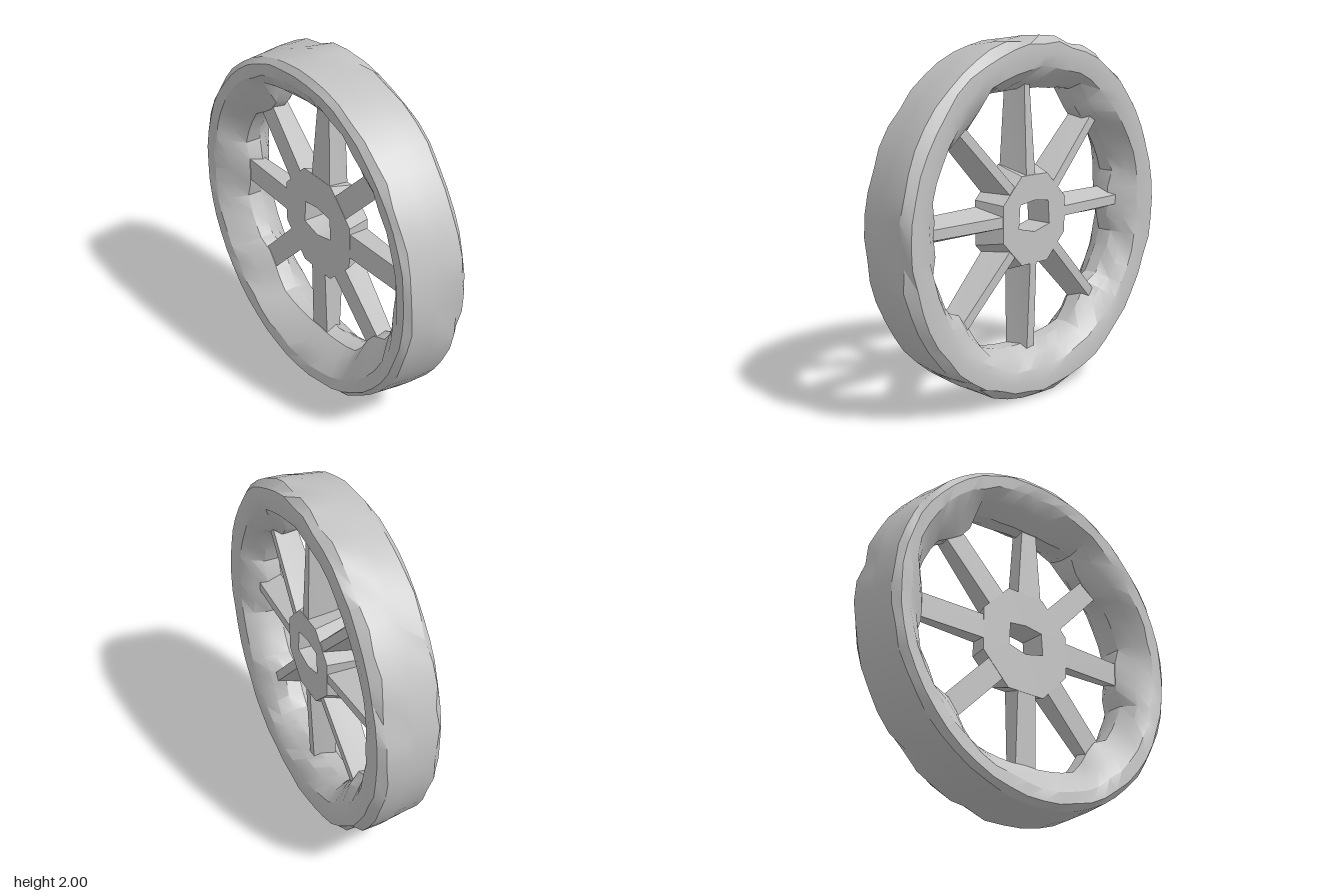
import * as THREE from 'three';
import { toCreasedNormals } from 'three/addons/utils/BufferGeometryUtils.js';

const metal = new THREE.MeshStandardMaterial({ color: 0xc2c2c2 });
metal.name = 'grey';

function mesh(name, geometry, parent, crease = 0.5) {
  const m = new THREE.Mesh(toCreasedNormals(geometry, crease), metal);
  m.name = name;
  parent.add(m);
  return m;
}

// Small seeded generator for the worn surface
let seed = 7;
const rand = () => (seed = (seed * 16807) % 2147483647) / 2147483647;

// Inner rim radius by elevation angle (degrees), the same on both sides
const inner = [
  [-90, 0.71], [-75, 0.73], [-60, 0.76], [-51, 0.70], [-41, 0.69], [-35, 0.74],
  [-23, 0.75], [-13, 0.76], [-6, 0.705], [6, 0.705], [14, 0.76], [18, 0.757],
  [36, 0.744], [41, 0.71], [47, 0.69], [54, 0.69], [62, 0.778], [76, 0.725], [90, 0.71],
];
function innerRadius(deg) {
  let k = 1;
  while (k < inner.length - 1 && inner[k][0] < deg) k++;
  const [a, ra] = inner[k - 1], [b, rb] = inner[k];
  return THREE.MathUtils.lerp(ra, rb, (deg - a) / (b - a));
}

// Rim: a cross-section swept round the axle, with an uneven inside and worn tread
function rimGeometry() {
  const n = 52, rows = 13, positions = [], index = [];
  for (let j = 0; j < n; j++) {
    const a = (j / n) * Math.PI * 2;
    const ri = innerRadius(THREE.MathUtils.radToDeg(Math.asin(Math.sin(a))));
    const toward = (t) => THREE.MathUtils.lerp(ri, 0.87, t);
    const notch = rand() < 0.25 ? 0.025 : 0;
    const w = () => (rand() - 0.5) * 0.02;
    const section = [
      [ri, -0.05 + w()], [ri, 0.035], [toward(0.5) + w(), 0.12 + w()],
      [0.87 + w(), 0.178 + w() / 2], [0.94 + w() / 2, 0.186], [0.972 + w() / 4, 0.155 + w()],
      [0.988, 0.02 + w()], [0.996 - notch / 2, -0.03], [1 - notch, -0.14 + w()],
      [0.96 + w(), -0.186], [0.9 + w(), -0.19],
      [0.835 + w(), -0.178], [toward(0.3) + w(), -0.12 + w()],
    ];
    for (const [r, z] of section) positions.push(r * Math.cos(a), r * Math.sin(a), z);
    for (let i = 0; i < rows; i++) {
      const i2 = (i + 1) % rows, j2 = (j + 1) % n;
      const p = j * rows + i, q = j * rows + i2, s = j2 * rows + i, t = j2 * rows + i2;
      index.push(p, q, s, q, t, s);
    }
  }
  const g = new THREE.BufferGeometry();
  g.setAttribute('position', new THREE.Float32BufferAttribute(positions, 3));
  g.setIndex(index);
  g.computeVertexNormals();
  return g;
}

// Hub: octagon with a hexagonal axle hole, narrowing toward the back
function hubGeometry() {
  const shape = new THREE.Shape(Array.from({ length: 8 }, (_, k) => {
    const a = (k + 0.5) * Math.PI / 4;
    return new THREE.Vector2(0.325 * Math.cos(a), 0.325 * Math.sin(a));
  }));
  shape.holes.push(new THREE.Path([
    [-0.12, -0.04], [-0.11, 0.09], [0, 0.105], [0.115, 0.09], [0.125, -0.04], [0, -0.07],
  ].map(([x, y]) => new THREE.Vector2(x, y))));
  const g = new THREE.ExtrudeGeometry(shape, { depth: 0.16, bevelEnabled: false });
  g.translate(0, 0, -0.115);
  const p = g.attributes.position;
  for (let i = 0; i < p.count; i++) {
    if (p.getZ(i) < -0.1 && Math.hypot(p.getX(i), p.getY(i)) > 0.25) {
      p.setXY(i, p.getX(i) * 0.82, p.getY(i) * 0.82);
    }
  }
  g.computeVertexNormals();
  return g;
}

// Spoke: flat front and a narrow tapering ridge behind
function spokeGeometry(rootHalf, tipHalf) {
  const g = new THREE.BoxGeometry(1, 1, 1);
  const p = g.attributes.position;
  for (let i = 0; i < p.count; i++) {
    const outer = p.getX(i) > 0, front = p.getZ(i) > 0, side = Math.sign(p.getY(i));
    const half = (outer ? tipHalf : rootHalf) * (front ? 1 : 0.4);
    p.setXYZ(i, outer ? 0.75 : 0.2, side * half, front ? (outer ? 0.03 : 0.045) : (outer ? -0.09 : -0.114));
  }
  g.computeVertexNormals();
  return g;
}

// Spokes: angle, half width at the hub, half width at the rim, offset in x and y
const spokes = [
  [0, 0.075, 0.07, 0, 0.013], [45, 0.068, 0.066, 0, 0], [89, 0.09, 0.05, 0.025, 0],
  [135, 0.068, 0.066, 0, 0], [180, 0.07, 0.07, 0, 0.012], [225, 0.068, 0.066, 0, 0],
  [270, 0.062, 0.07, 0.008, 0], [315, 0.068, 0.066, 0, 0],
];

export function createModel() {
  const wheel = new THREE.Group();
  wheel.name = 'wheel';
  const body = new THREE.Group();
  body.name = 'wheelBody';
  body.position.y = 1;
  wheel.add(body);

  mesh('rim', rimGeometry(), body, 0.5);
  mesh('hub', hubGeometry(), body);
  for (const [deg, rootHalf, tipHalf, x, y] of spokes) {
    const spoke = mesh('spoke', spokeGeometry(rootHalf, tipHalf), body);
    spoke.rotation.z = THREE.MathUtils.degToRad(deg);
    spoke.position.set(x, y, 0);
  }
  return wheel;
}
